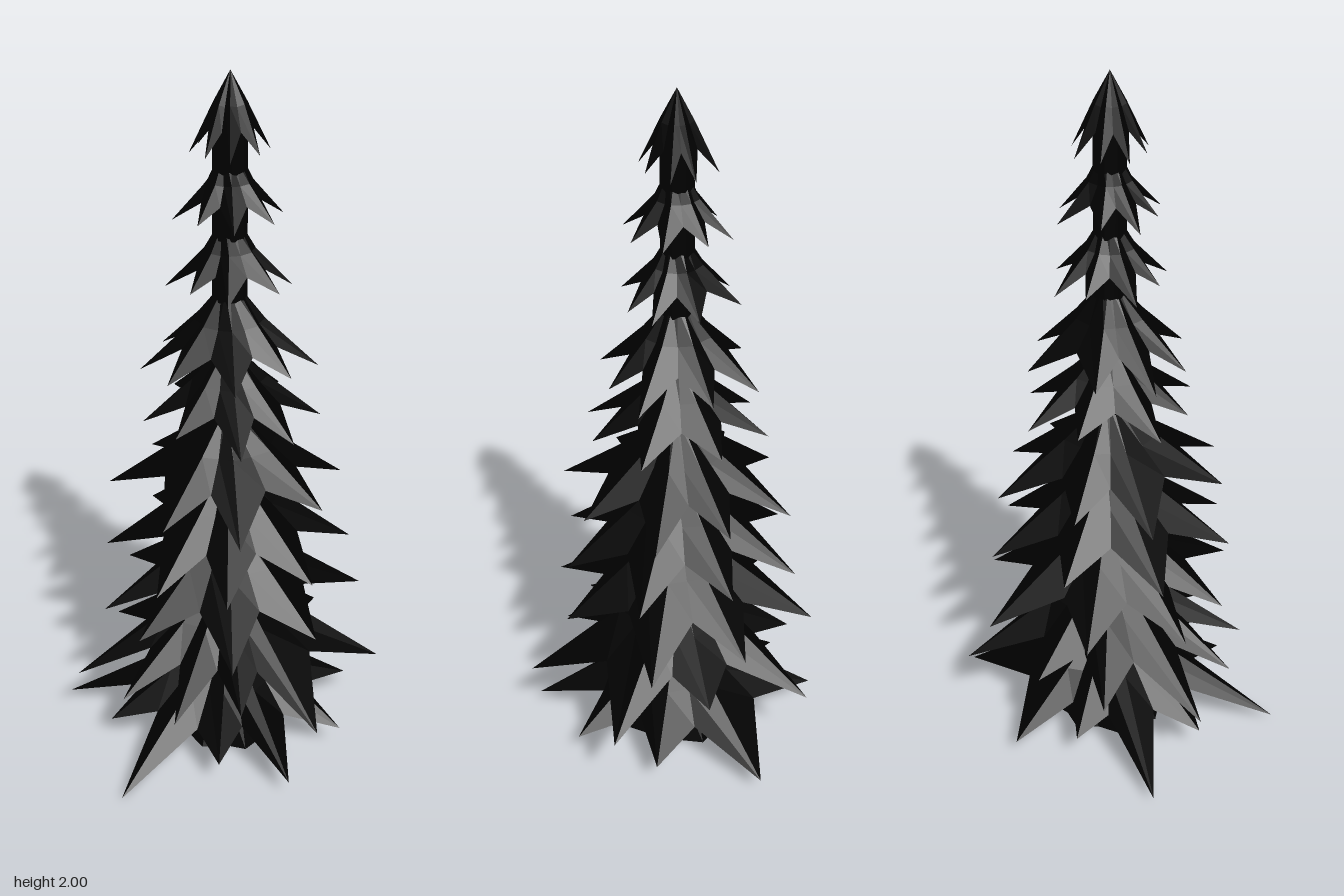
import * as THREE from 'three';

const CX = 0.02, CZ = 0.01; // trunk axis
const material = new THREE.MeshStandardMaterial({ color: 0x000000, flatShading: true, side: THREE.DoubleSide });

// small seeded generator for irregular branch tips
let seed = 11;
const rand = () => (seed = (seed * 16807) % 2147483647) / 2147483647;

// tiers: top height, tip height, longest reach
const TIERS = [
  [2.0, 1.79, 0.11], [1.78, 1.62, 0.15], [1.6, 1.43, 0.17], [1.42, 1.2, 0.24], [1.24, 1.04, 0.26],
  [1.06, 0.82, 0.34], [0.89, 0.62, 0.37], [0.71, 0.43, 0.4], [0.53, 0.23, 0.44], [0.32, 0.04, 0.47],
];

// tips of the two widest tiers: degrees from +x towards +z, radius
const LOW_TIPS = {
  8: [[7, 0.45], [62, 0.45], [90, 0.36], [118, 0.4], [145, 0.4], [173, 0.46], [210, 0.38], [245, 0.34], [284, 0.44], [328, 0.34]],
  9: [[-7, 0.37], [35, 0.38], [72, 0.43], [100, 0.36], [132, 0.515], [163, 0.38], [193, 0.5], [224, 0.34], [250, 0.41], [311, 0.45]],
};

// eight tips near the compass points, slightly irregular
const randomTips = (reach) => Array.from({ length: 8 }, (_, i) =>
  [(i + (rand() - 0.5) * 0.35) * 45, reach * (i % 2 ? 0.84 + 0.12 * rand() : 0.93 + 0.1 * rand())]);

// triangles between neighbouring spokes of three points each
function skirtGeometry(spokes) {
  const pos = [], index = [];
  spokes.forEach(([angle, points], i) => {
    for (const [r, y] of points) pos.push(CX + Math.cos(angle) * r, y, CZ + Math.sin(angle) * r);
    const a = i * 3, b = ((i + 1) % spokes.length) * 3;
    for (let k = 0; k < 2; k++)
      index.push(a + k, b + k, a + k + 1, b + k, b + k + 1, a + k + 1);
  });
  const geometry = new THREE.BufferGeometry();
  geometry.setAttribute('position', new THREE.Float32BufferAttribute(pos, 3));
  geometry.setIndex(index);
  geometry.computeVertexNormals();
  return geometry;
}

// jagged conical skirt: collar, shoulder, then a rim of tips and valleys
function tierGeometry([top, tip, reach], tips, collar) {
  const drop = top - tip;
  return skirtGeometry(tips.flatMap(([a0, r0], i) => {
    const [a1, r1] = tips[(i + 1) % tips.length];
    const middle = (a0 + (a1 < a0 ? a1 + 360 : a1)) / 2;
    const tipY = Math.max(tip + (reach - r0) * 0.5, 0.01);
    return [
      [THREE.MathUtils.degToRad(a0), [[collar, top], [reach * 0.4, top - drop * 0.38], [r0, tipY]]],
      [THREE.MathUtils.degToRad(middle), [[collar, top], [reach * 0.35, top - drop * 0.4], [0.3 * (r0 + r1), top - drop * 0.68]]],
    ];
  }));
}

export function createModel() {
  const group = new THREE.Group();
  group.name = 'firTree';
  const add = (geometry, name) => {
    const mesh = new THREE.Mesh(geometry, material);
    mesh.name = name;
    group.add(mesh);
  };

  // slim trunk
  add(new THREE.CylinderGeometry(0.045, 0.055, 1.9, 8).translate(CX, 0.95, CZ), 'trunk');

  // open, slightly zigzag skirt resting on the ground
  add(skirtGeometry(Array.from({ length: 18 }, (_, i) =>
    [i * Math.PI / 9, [[0.03, 0.24], [0.115, 0.16], [i % 2 ? 0.165 : 0.19, 0]]])), 'groundSkirt');

  // branch tiers from crown to ground
  TIERS.forEach((tier, i) => {
    const tips = LOW_TIPS[i] ?? randomTips(tier[2]);
    add(tierGeometry(tier, tips, i === 0 ? 0 : 0.03), i === 0 ? 'crown' : `branchTier${i}`);
  });
  return group;
}
